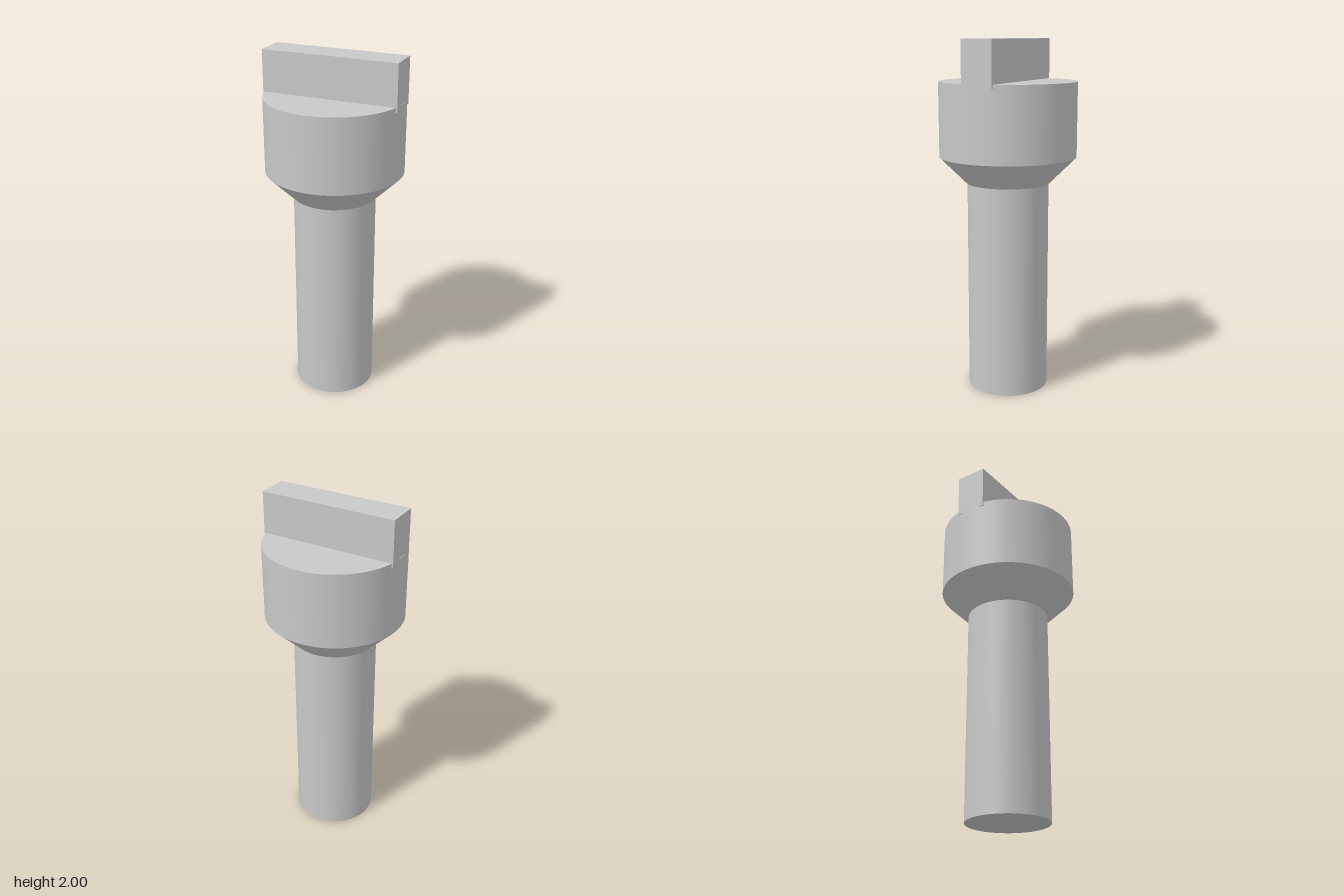
import * as THREE from 'three';

const SEGMENTS = 96;

export function createModel() {
  const model = new THREE.Group();
  model.name = 'keyedPlug';

  const metal = new THREE.MeshStandardMaterial({ color: 0xc8c8c8 });
  metal.name = 'light grey metal';

  function add(name, geometry, y) {
    const mesh = new THREE.Mesh(geometry, metal);
    mesh.name = name;
    mesh.position.y = y;
    model.add(mesh);
  }

  // Round section between two heights
  function round(name, bottomRadius, topRadius, y0, y1, open = false) {
    const geometry = new THREE.CylinderGeometry(topRadius, bottomRadius, y1 - y0, SEGMENTS, 1, open);
    add(name, geometry, (y0 + y1) / 2);
  }

  // Shaft, closed at the foot
  round('shaft', 0.23, 0.23, 0, 1.205);

  // Flared collar, its lower rim just wider than the shaft
  round('collar', 0.236, 0.386, 1.203, 1.352);

  // Wide head
  round('head', 0.386, 0.386, 1.352, 1.77);

  // Cross bar, sunk slightly into the head with its corners just proud
  add('bar', new THREE.BoxGeometry(0.766, 0.255, 0.177), 2 - 0.255 / 2);

  return model;
}
